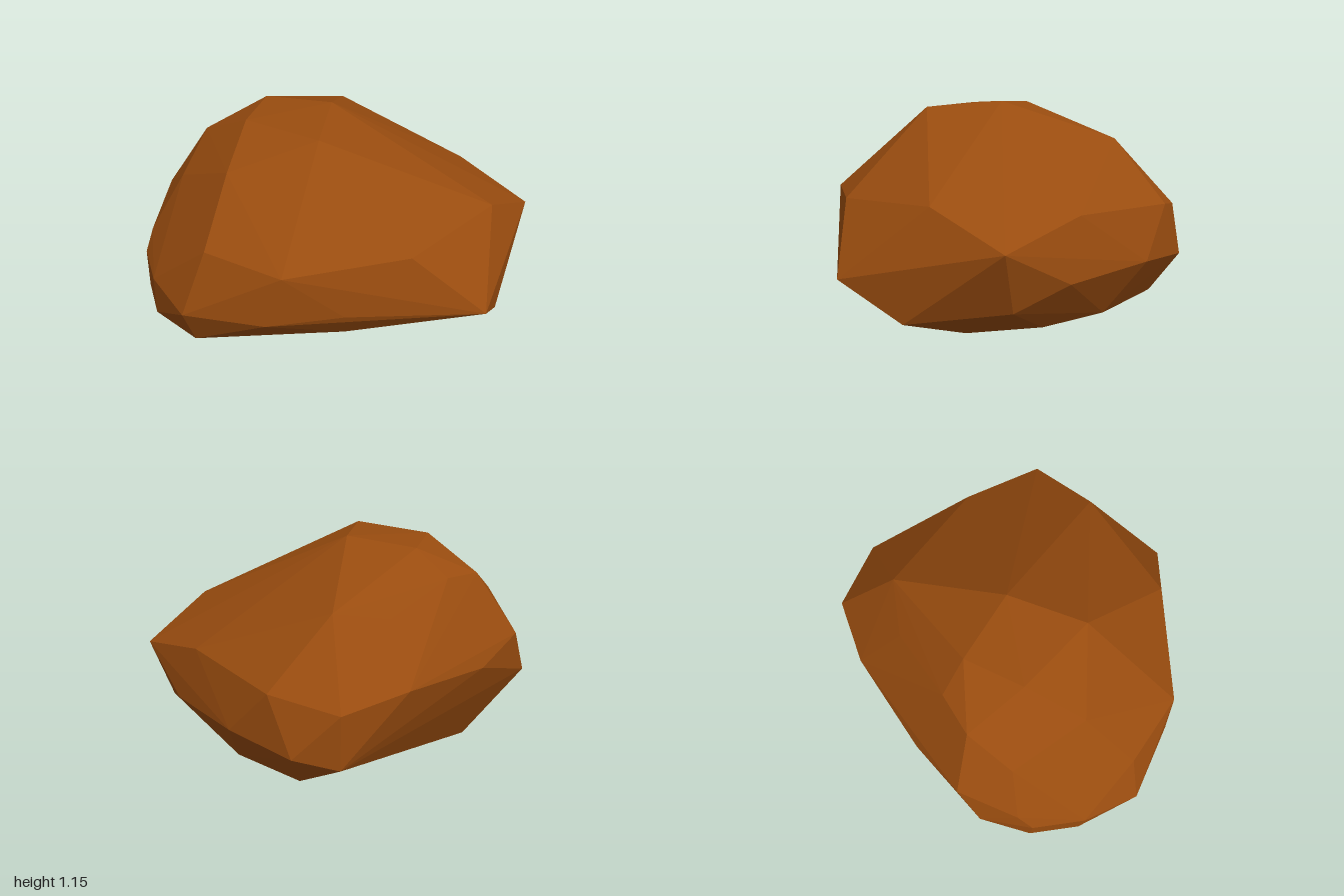
import * as THREE from 'three';
import { ConvexGeometry } from 'three/addons/geometries/ConvexGeometry.js';

// Corners of the boulder, grouped by height band
const crown = [
  [-0.18, 1.115, 0.32], [0, 1.15, -0.04], [-0.45, 1.12, -0.02], [-0.28, 1.13, -0.28],
  [0.24, 0.96, -0.58], [-0.4, 1.0, -0.4], [-0.6, 0.98, -0.31], [-0.61, 0.98, 0.25],
  [-0.04, 0.9, -0.58],
];
const shoulder = [
  [0.66, 0.73, 0.51], [0.81, 0.68, -0.15], [0.58, 0.665, -0.7], [0.11, 0.695, 0.8],
  [-0.49, 0.67, 0.75], [-0.78, 0.71, 0.48], [-0.77, 0.82, -0.12], [-0.8, 0.66, -0.4],
  [-0.53, 0.58, -0.58], [-0.05, 0.64, -0.82], [0.3, 0.61, -0.9],
];
const waist = [
  [1, 0.57, 0.27], [0.46, 0.38, 0.9], [-0.21, 0.44, 0.8], [-0.57, 0.42, 0.73],
  [-0.91, 0.41, 0.51], [-1, 0.45, 0.22], [-1, 0.45, -0.05], [-0.95, 0.54, -0.12],
  [-0.91, 0.4, -0.31], [0.3, 0.33, -0.89], [0.51, 0.39, -0.83], [0.73, 0.42, -0.53],
  [0.9, 0.39, -0.07], [0.9, 0.28, 0.2],
];
const underside = [
  [0.66, 0.2, 0.64], [-0.18, 0.29, 0.71], [-0.85, 0.22, 0.45], [-1, 0.24, 0.2],
  [-1, 0.24, -0.06], [-0.87, 0.13, 0.17], [-0.66, 0.16, 0.4], [-0.6, 0.03, -0.26],
  [-0.46, 0, -0.15], [0.39, 0.07, 0.08], [0.6, 0.11, 0.33], [0.74, 0.15, 0],
  [0.66, 0.165, -0.34], [0.44, 0.19, -0.7], [0.3, 0.08, -0.5],
];

export function createModel() {
  const stone = new THREE.MeshStandardMaterial({ color: 0x994c0f, flatShading: true });
  stone.name = 'brownStone';

  // Faceted convex body with one flat face per plane
  const corners = [...crown, ...shoulder, ...waist, ...underside]
    .map(([x, y, z]) => new THREE.Vector3(x, y, z));
  const boulder = new THREE.Mesh(new ConvexGeometry(corners), stone);
  boulder.name = 'boulder';

  const group = new THREE.Group();
  group.name = 'rock';
  group.add(boulder);
  return group;
}
